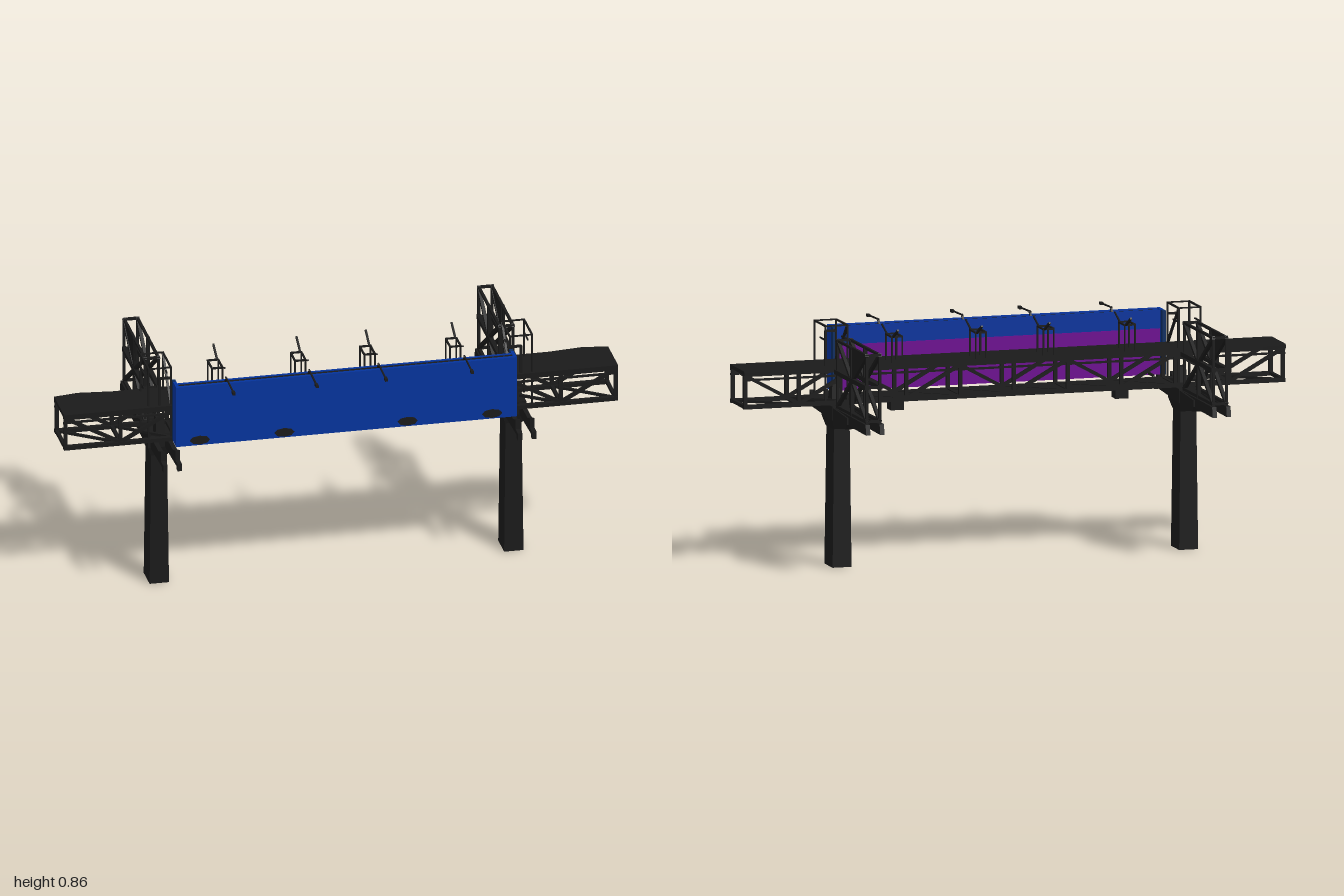
import * as THREE from 'three';

const steel = new THREE.MeshStandardMaterial({ name: 'dark steel', color: 0x1a1a1a, side: THREE.DoubleSide });
const blue = new THREE.MeshStandardMaterial({ name: 'sign blue', color: 0x04339c });
const navy = new THREE.MeshStandardMaterial({ name: 'edge navy', color: 0x0a2c60 });
const purple = new THREE.MeshStandardMaterial({ name: 'back purple', color: 0x6c0a90 });

function add(parent, name, geometry, material = steel) {
  const mesh = new THREE.Mesh(geometry, material);
  mesh.name = name;
  parent.add(mesh);
  return mesh;
}

// Box given by its minimum and maximum corners
function box(parent, name, a, b, material) {
  const mesh = add(parent, name, new THREE.BoxGeometry(b[0] - a[0], b[1] - a[1], b[2] - a[2]), material);
  mesh.position.set((a[0] + b[0]) / 2, (a[1] + b[1]) / 2, (a[2] + b[2]) / 2);
  return mesh;
}

// Square bar between two points of the parent's own space
function bar(parent, name, a, b, t = 0.012) {
  const p = new THREE.Vector3(...a), q = new THREE.Vector3(...b);
  const mesh = add(parent, name, new THREE.BoxGeometry(t, t, p.distanceTo(q) + t * 0.5));
  mesh.quaternion.setFromRotationMatrix(new THREE.Matrix4().lookAt(q, p, mesh.up));
  mesh.position.copy(p).add(q).multiplyScalar(0.5);
  return mesh;
}

// Flat profile of [z, y] points, given thickness along x
function profile(parent, name, points, x, width) {
  const shape = new THREE.Shape(points.map(([z, y]) => new THREE.Vector2(-z, y)));
  const geo = new THREE.ExtrudeGeometry(shape, { depth: width, bevelEnabled: false });
  geo.translate(0, 0, -width / 2).rotateY(Math.PI / 2);
  add(parent, name, geo).position.x = x;
}

// Tapered square column
function taper(parent, name, y0, y1, lower, upper) {
  const geo = new THREE.BoxGeometry(1, y1 - y0, 1);
  const p = geo.attributes.position;
  for (let i = 0; i < p.count; i++) {
    const [w, z0, z1] = p.getY(i) > 0 ? upper : lower;
    p.setXYZ(i, p.getX(i) * w, p.getY(i) + (y0 + y1) / 2, p.getZ(i) > 0 ? z1 : z0);
  }
  geo.computeVertexNormals();
  add(parent, name, geo);
}

function createTruss() {
  const g = new THREE.Group();
  g.name = 'truss';
  box(g, 'walkwayDeck', [-1, 0.703, 0.02], [1, 0.717, 0.185]);
  box(g, 'lowerFloor', [-0.6, 0.583, 0.04], [0.6, 0.591, 0.165]);
  for (const z of [0.03, 0.175]) {
    box(g, 'topChord', [-1, 0.696, z - 0.008], [1, 0.715, z + 0.008]);
    box(g, 'bottomChord', [-1, 0.58, z - 0.009], [1, 0.594, z + 0.009]);
    bar(g, 'midRail', [-1, 0.683, z], [1, 0.683, z], 0.007);
    for (let i = 0; i <= 10; i++) {
      const x = -0.993 + i * 0.1986;
      bar(g, 'upright', [x, 0.59, z], [x, 0.7, z], 0.013);
      if (i < 10) {
        const up = i % 2 === 0;
        bar(g, 'diagonal', [x, up ? 0.7 : 0.59, z], [x + 0.1986, up ? 0.59 : 0.7, z], 0.012);
      }
    }
  }
  for (let i = 0; i <= 10; i++) {
    const x = -0.993 + i * 0.1986;
    bar(g, 'crossMember', [x, 0.588, 0.03], [x, 0.588, 0.175]);
    if (i < 10) bar(g, 'floorBrace', [x, 0.588, 0.03], [x + 0.1986, 0.588, 0.175], 0.009);
  }
  for (const s of [-1, 1]) {
    // Deck edge flaring out near the far end
    const flare = new THREE.Shape([[0.68, -0.025], [1, -0.025], [1, -0.014], [0.91, 0]]
      .map(([x, y]) => new THREE.Vector2(s * x, y)));
    const geo = new THREE.ExtrudeGeometry(flare, { depth: 0.012, bevelEnabled: false });
    geo.rotateX(-Math.PI / 2);
    add(g, 'deckEdge', geo).position.y = 0.702;
    box(g, 'hangingBox', [s * 0.415 - 0.024, 0.54, 0.08], [s * 0.415 + 0.024, 0.585, 0.125]);
  }
  return g;
}

function createSupport(side) {
  const g = new THREE.Group();
  g.name = side > 0 ? 'leftSupport' : 'rightSupport';
  g.position.x = side * 0.64;
  // Post and flared head
  taper(g, 'post', 0, 0.5, [0.07, 0.012, 0.11], [0.058, 0.015, 0.105]);
  taper(g, 'postHead', 0.495, 0.53, [0.062, 0.012, 0.107], [0.085, -0.01, 0.118]);
  box(g, 'postCap', [-0.043, 0.53, -0.01], [0.043, 0.58, 0.118]);
  taper(g, 'capBlock', 0.58, 0.643, [0.034, 0.08, 0.126], [0.026, 0.086, 0.12]);

  // Cantilever arms and the box beneath
  const arm = [[0.33, 0.528], [0.33, 0.555], [0.292, 0.555], [0.292, 0.592], [0.25, 0.576], [-0.375, 0.572],
    [-0.383, 0.535], [0.11, 0.54], [0.13, 0.531], [0.31, 0.54], [0.312, 0.528]];
  for (const x of [-0.026, 0.026]) profile(g, 'arm', arm, x, 0.016);
  profile(g, 'armBox', [[0, 0.575], [0, 0.522], [-0.16, 0.522], [-0.172, 0.54], [-0.172, 0.565]], 0, 0.08);

  // Rear lattice frame
  for (const x of [-0.024, 0.024]) {
    const line = (a, b, t) => bar(g, 'rearFrameBar', [x, a[1], a[0]], [x, b[1], b[0]], t);
    line([-0.012, 0.816], [-0.358, 0.816], 0.009);
    line([0, 0.702], [-0.358, 0.702], 0.016);
    line([-0.012, 0.58], [-0.358, 0.58], 0.011);
    line([-0.014, 0.575], [-0.014, 0.816], 0.009);
    line([-0.185, 0.575], [-0.185, 0.816], 0.013);
    line([-0.358, 0.575], [-0.358, 0.816], 0.009);
    line([-0.014, 0.816], [-0.358, 0.58], 0.012);
    line([-0.358, 0.816], [-0.014, 0.58], 0.012);
  }
  for (const y of [0.816, 0.702, 0.58])
    for (const z of [-0.014, -0.358]) bar(g, 'rearFrameTie', [-0.024, y, z], [0.024, y, z], 0.009);
  profile(g, 'gusset', [[-0.16, 0.816], [-0.358, 0.816], [-0.185, 0.705]], side * 0.024, 0.006);

  // Safety cage above the walkway
  const x0 = -0.028 * side, x1 = 0.052 * side;
  for (const x of [x0, x1]) {
    for (const z of [0.04, 0.172]) bar(g, 'cagePost', [x, 0.58, z], [x, 0.86, z], 0.006);
    bar(g, 'cageRail', [x, 0.86, 0.04], [x, 0.86, 0.172], 0.006);
    bar(g, 'cageMidRail', [x, 0.81, 0.04], [x, 0.81, 0.105], 0.005);
  }
  for (const z of [0.04, 0.172]) bar(g, 'cageTie', [x0, 0.86, z], [x1, 0.86, z], 0.005);
  bar(g, 'cageBrace', [x0, 0.72, 0.168], [x0, 0.855, 0.043], 0.008);
  bar(g, 'ladderRail', [side * 0.012, 0.7, 0.172], [side * 0.012, 0.82, 0.172], 0.008);
  bar(g, 'ladderTop', [x0, 0.82, 0.172], [side * 0.012, 0.82, 0.172], 0.008);
  return g;
}

function createSign() {
  const g = new THREE.Group();
  g.name = 'signPanel';
  // Front and back sheets with a dark core between them
  box(g, 'signFace', [-0.613, 0.597, 0.262], [0.613, 0.826, 0.275], blue);
  box(g, 'signBack', [-0.613, 0.597, 0.232], [0.613, 0.824, 0.24], blue);
  box(g, 'signCore', [-0.607, 0.6, 0.24], [0.607, 0.821, 0.262]);
  for (const s of [-1, 1]) {
    box(g, 'signEnd', [s * 0.609 - 0.006, 0.597, 0.222], [s * 0.609 + 0.006, 0.826, 0.274], blue);
    box(g, 'signEndEdge', [s * 0.609 - 0.006, 0.597, 0.202], [s * 0.609 + 0.006, 0.826, 0.222], navy);
  }
  box(g, 'backPanel', [-0.602, 0.598, 0.227], [0.602, 0.758, 0.232], purple);
  box(g, 'bottomPanel', [-0.602, 0.594, 0.227], [0.602, 0.6, 0.255], purple);
  // Dark mounts along the lower edge
  for (const x of [-0.53, -0.225, 0.22, 0.525]) {
    const mount = add(g, 'lowerMount', new THREE.CylinderGeometry(0.036, 0.036, 0.006, 8));
    mount.rotation.x = Math.PI / 2;
    mount.scale.z = 0.45;
    mount.position.set(x, 0.617, 0.276);
  }
  // Brackets tying the sign to the truss
  for (const x of [-0.56, 0.56]) bar(g, 'signBracket', [x, 0.6, 0.175], [x, 0.6, 0.235], 0.008);
  return g;
}

// Lamp arm over the sign with its wire stand on the walkway
function createLamp(x) {
  const g = new THREE.Group();
  g.name = 'lamp';
  g.position.x = x;
  bar(g, 'lampArm', [0, 0.838, 0.25], [0, 0.834, 0.37], 0.005);
  box(g, 'lampHead', [-0.005, 0.828, 0.365], [0.005, 0.838, 0.386]);
  bar(g, 'lampRoot', [0, 0.815, 0.24], [0, 0.838, 0.26], 0.007);
  for (const s of [-0.019, 0.019]) {
    bar(g, 'standLeg', [s, 0.715, 0.105], [s, 0.81, 0.105], 0.006);
    bar(g, 'standRail', [s, 0.81, 0.105], [s, 0.81, 0.035], 0.006);
    bar(g, 'standBrace', [s, 0.715, 0.035], [s, 0.81, 0.035], 0.005);
  }
  for (const z of [0.105, 0.035]) bar(g, 'standTie', [-0.019, 0.81, z], [0.019, 0.81, z], 0.006);
  bar(g, 'standArm', [0.015, 0.81, 0.035], [0.015, 0.842, -0.025], 0.007);
  bar(g, 'standHook', [0.015, 0.81, 0.105], [0.015, 0.835, 0.165], 0.005);
  return g;
}

export function createModel() {
  const model = new THREE.Group();
  model.name = 'signGantry';
  model.add(createTruss(), createSupport(-1), createSupport(1), createSign());
  for (const x of [-0.43, -0.13, 0.12, 0.43]) model.add(createLamp(x));
  return model;
}
